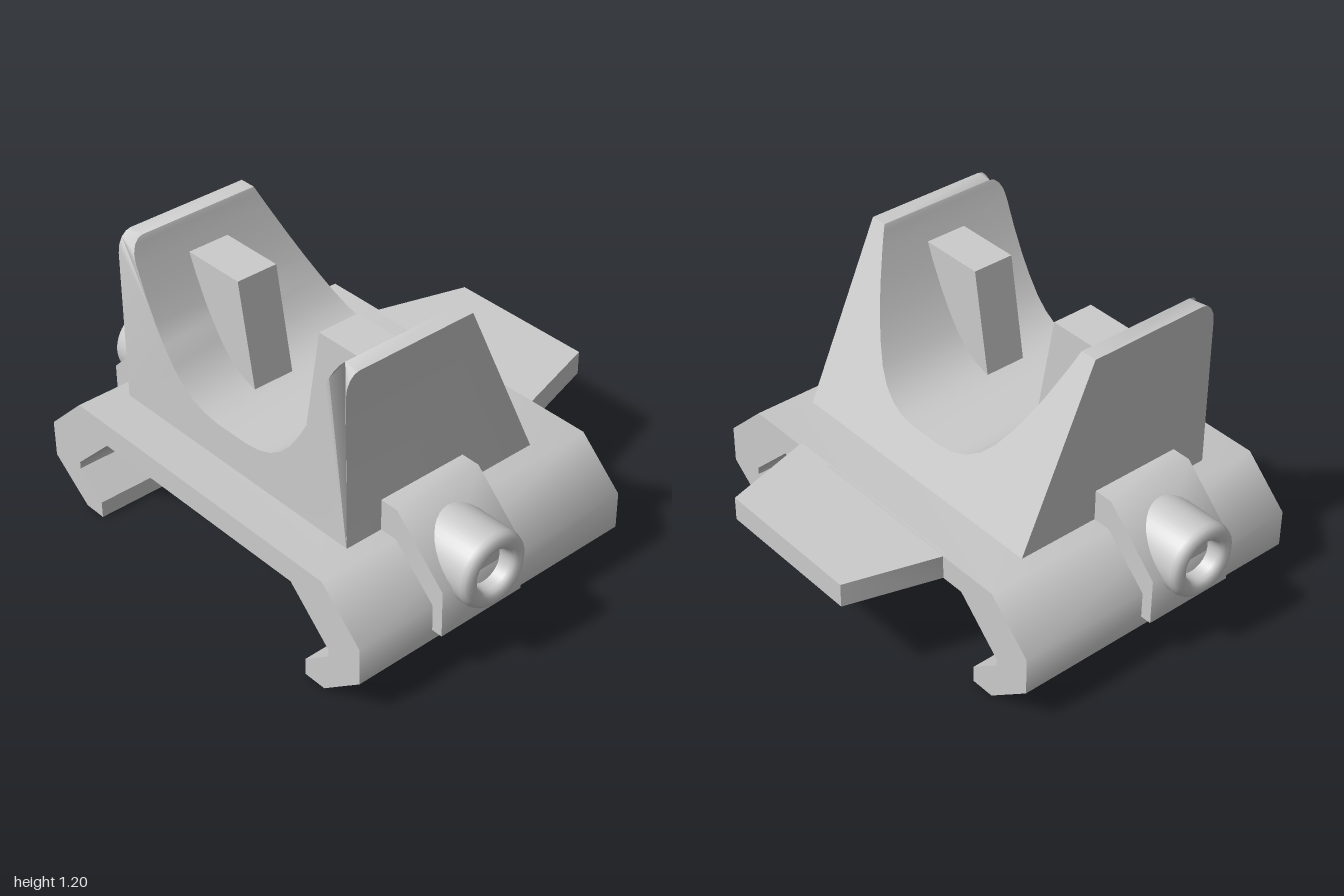
import * as THREE from 'three';
import { toCreasedNormals } from 'three/addons/utils/BufferGeometryUtils.js';

const material = new THREE.MeshStandardMaterial({ color: 0xcccccc });

function addPart(group, name, geometry) {
  const mesh = new THREE.Mesh(toCreasedNormals(geometry, 0.9), material);
  mesh.name = name;
  group.add(mesh);
}

// Outline in x, y drawn out from z0 to z1
function prism(points, z0, z1) {
  const shape = new THREE.Shape(points.map(([x, y]) => new THREE.Vector2(x, y)));
  return new THREE.ExtrudeGeometry(shape, { depth: z1 - z0, bevelEnabled: false }).translate(0, 0, z0);
}

// Closes a half outline (x > 0) with its mirror image
const mirrored = (half) => [...half, ...half.map(([x, y]) => [-x, y]).reverse()];

// U-shaped cradle with a sloping back and rounded upper front corners
function cradleGeometry() {
  const top = 1.195, round = 1.11;
  const geometry = prism(mirrored([
    [0.62, 0.46], [0.62, round], [0.62, 1.145], [0.62, 1.172], [0.62, 1.189], [0.62, top],
    [0.55, top], [0.547, 1.189], [0.541, 1.172], [0.531, 1.145], [0.517, round],
    [0.47, 1.0], [0.42, 0.9], [0.375, 0.825], [0.325, 0.755], [0.275, 0.705],
    [0.215, 0.667], [0.15, 0.645], [0.08, 0.636],
  ]), 0, 1);
  const p = geometry.attributes.position;
  for (let i = 0; i < p.count; i++) {
    const y = p.getY(i);
    const t = THREE.MathUtils.clamp((y - round) / (top - round), 0, 1);
    const front = 0.65 - 0.06 * (1 - Math.sqrt(1 - t * t));
    const back = -0.25 + (y - 0.48) * 0.32 / 0.715;
    p.setZ(i, p.getZ(i) > 0.5 ? front : back);
  }
  return geometry;
}

export function createModel() {
  const model = new THREE.Group();
  model.name = 'clampMount';

  // Rail clamp with hooked legs
  addPart(model, 'railClamp', prism(mirrored([
    [0.53, 0.38], [0.725, 0.195], [0.725, 0.165], [0.6, 0.07], [0.6, 0],
    [0.7, 0], [0.885, 0.145], [0.885, 0.3], [0.695, 0.48],
  ]), -0.455, 0.83));

  // Flat tapered tongue at the back
  addPart(model, 'rearTongue',
    prism(mirrored([[0.43, 0.44], [0.43, 0.455], [0.32, 0.83]]), 0.38, 0.48).rotateX(-Math.PI / 2));

  addPart(model, 'cradle', cradleGeometry());

  for (const [side, s] of [['left', 1], ['right', -1]]) {
    const flip = (points) => points.map(([x, y]) => [s * x, y]);

    // Tapered prong inside the cradle
    addPart(model, side + 'Prong', prism(flip([
      [0.137, 0.6], [0.222, 1.075], [0.505, 1.075], [0.505, 0.6],
    ]), 0.24, 0.42));

    // Block hugging the outside of the leg
    addPart(model, side + 'Block', prism(flip([
      [0.6, 0.61], [0.7, 0.61], [0.932, 0.385], [0.932, 0.19], [0.8, 0.19], [0.8, 0.3], [0.6, 0.45],
    ]), 0.1, 0.49));

    // Round screw knob with a recessed end
    const profile = [
      [0.152, 0.74], [0.152, 0.97], [0.146, 0.987], [0.13, 1], [0.105, 1],
      [0.09, 0.99], [0.084, 0.975], [0.08, 0.93], [0, 0.93],
    ].map(([r, y]) => new THREE.Vector2(r, y));
    addPart(model, side + 'Knob',
      new THREE.LatheGeometry(profile, 40).rotateZ(-s * Math.PI / 2).translate(0, 0.41, 0.295));
  }
  return model;
}
